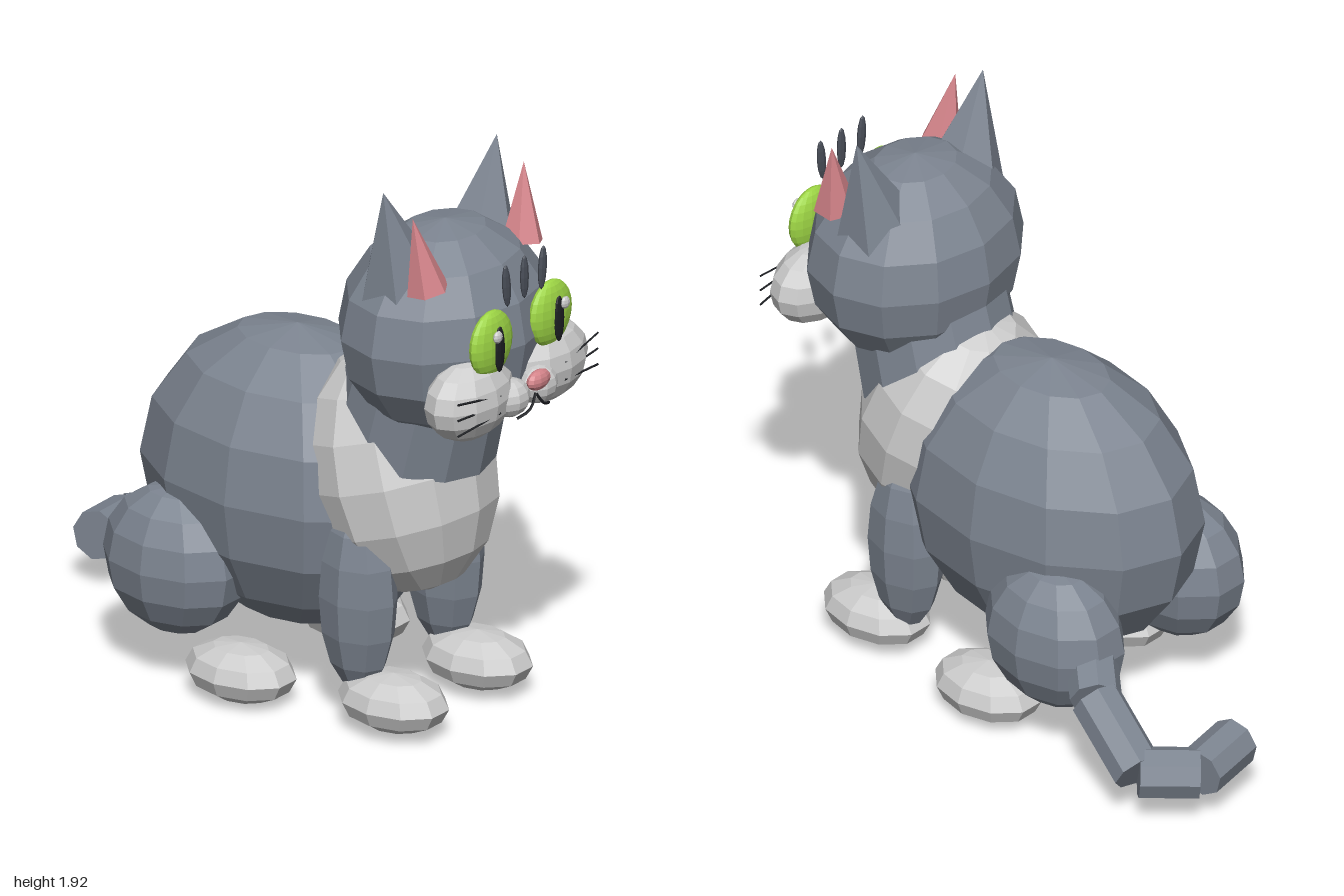
import * as THREE from 'three';

const mat = (color) => new THREE.MeshStandardMaterial({ color, flatShading: true });
const fur = mat(0x7c8490), pale = mat(0xbcbcbe), green = mat(0x9ed645), pink = mat(0xd4848a);
const black = mat(0x1c1e22), white = mat(0xffffff), dark = mat(0x484d57);

export function createModel() {
  const cat = new THREE.Group();
  cat.name = 'cat';
  cat.position.x = -0.03;

  const add = (name, geometry, material, pos = [0, 0, 0], rot = [0, 0, 0]) => {
    const mesh = new THREE.Mesh(geometry, material);
    mesh.name = name;
    mesh.position.set(...pos);
    mesh.rotation.set(...rot);
    cat.add(mesh);
    return mesh;
  };
  // Faceted ellipsoid from a centre and three radii
  const blob = (name, material, pos, radii, w = 12, h = 8, rot) =>
    add(name, new THREE.SphereGeometry(1, w, h), material, pos, rot).scale.set(...radii);
  // Straight rod between two points
  const rod = (name, material, a, b, radius, sides) => {
    const p = new THREE.Vector3(...a), q = new THREE.Vector3(...b);
    const dir = q.clone().sub(p);
    const mesh = add(name, new THREE.CylinderGeometry(radius, radius, dir.length(), sides), material);
    mesh.position.copy(p).add(q).multiplyScalar(0.5);
    mesh.quaternion.setFromUnitVectors(new THREE.Vector3(0, 1, 0), dir.normalize());
  };

  // Torso, neck and head
  blob('body', fur, [0, 0.7, 0], [0.39, 0.51, 0.565]);
  blob('chest', pale, [0, 0.82, 0.42], [0.33, 0.42, 0.305], 12, 8, [-0.28, 0, 0]);
  add('neck', new THREE.CylinderGeometry(0.26, 0.272, 0.4, 12), fur, [0, 1.13, 0.52], [0.25, 0, 0]);
  blob('head', fur, [0, 1.373, 0.595], [0.39, 0.36, 0.325]);

  for (const s of [1, -1]) {
    const side = s > 0 ? 'left' : 'right';

    // Ears
    add(side + 'Ear', new THREE.ConeGeometry(0.145, 0.38, 6), fur,
      [s * 0.25, 1.733, 0.575], [0, 0, -s * 0.27]);
    add(side + 'InnerEar', new THREE.ConeGeometry(0.072, 0.26, 6), pink,
      [s * 0.272, 1.725, 0.702], [-0.1, 0, -s * 0.17]);

    // Eyes
    blob(side + 'Eye', green, [s * 0.157, 1.427, 0.9], [0.104, 0.113, 0.038], 16, 12);
    blob(side + 'Pupil', black, [s * 0.157, 1.415, 0.936], [0.023, 0.08, 0.012], 10, 8);
    blob(side + 'EyeHighlight', white, [s * 0.178, 1.466, 0.945], [0.021, 0.021, 0.012], 8, 6);

    // Cheeks, muzzle, mouth and whiskers
    blob(side + 'Cheek', pale, [s * 0.195, 1.235, 0.842], [0.187, 0.138, 0.118]);
    blob(side + 'Muzzle', pale, [s * 0.073, 1.213, 0.915], [0.075, 0.064, 0.06], 10, 8);
    const smile = new THREE.CatmullRomCurve3([[0, 1.215, 0.962], [0.035, 1.17, 0.966], [0.085, 1.15, 0.95]]
      .map(([x, y, z]) => new THREE.Vector3(s * x, y, z)));
    add(side + 'MouthLine', new THREE.TubeGeometry(smile, 6, 0.005, 5), black);
    for (const k of [-1, 0, 1]) {
      rod(side + 'Whisker', black, [s * 0.17, 1.23 + k * 0.03, 0.95], [s * 0.37, 1.235 + k * 0.055, 0.93], 0.004, 4);
    }

    // Legs and paws
    blob(side + 'FrontLeg', fur, [s * 0.23, 0.44, 0.42], [0.11, 0.325, 0.142], 8, 8);
    blob(side + 'FrontPaw', pale, [s * 0.222, 0.11, 0.557], [0.146, 0.096, 0.2], 10, 6);
    blob(side + 'Thigh', fur, [s * 0.285, 0.415, -0.275], [0.19, 0.253, 0.262], 10, 8);
    blob(side + 'BackPaw', pale, [s * 0.3, 0.097, 0], [0.147, 0.097, 0.2], 10, 6);
  }

  // Nose and forehead stripes
  blob('nose', pink, [0, 1.265, 0.973], [0.055, 0.034, 0.026], 10, 8);
  for (const k of [-1, 0, 1]) {
    blob('foreheadStripe', dark, [k * 0.095, 1.61, 0.916], [0.018, 0.076, 0.012], 8, 6, [0, 0, -k * 0.08]);
  }

  // Tail curling to one side in straight pieces
  const tail = [[0.22, 0.44, -0.36], [0.39, 0.33, -0.55], [0.45, 0.185, -0.79], [0.31, 0.175, -0.925], [0.11, 0.19, -0.9]];
  for (let i = 0; i < tail.length - 1; i++) rod('tailSegment', fur, tail[i], tail[i + 1], 0.085, 8);

  const root = new THREE.Group();
  root.name = 'sittingCat';
  root.add(cat);
  return root;
}
